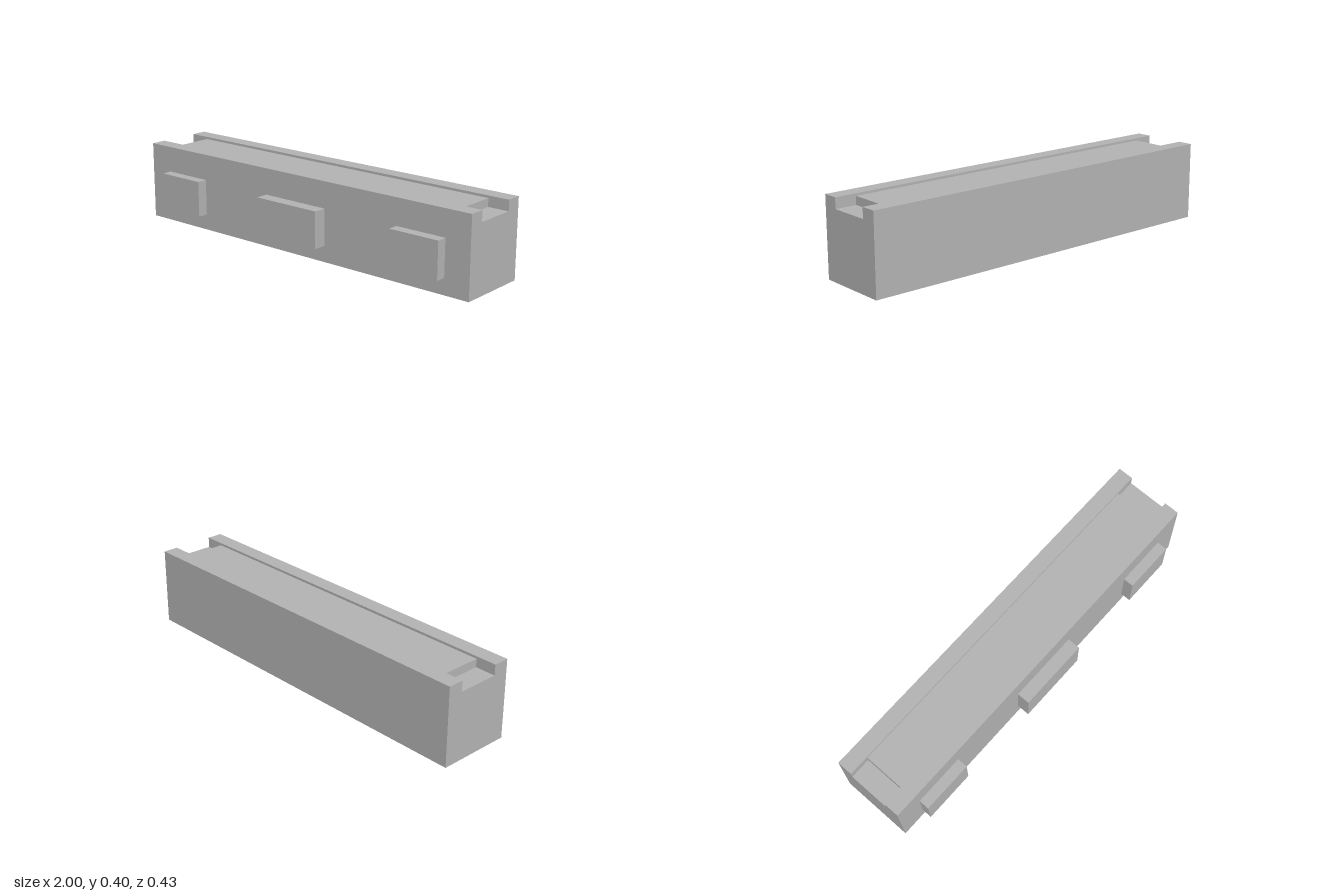
import * as THREE from 'three';

export function createModel() {
  const model = new THREE.Group();
  model.name = 'groovedBeam';
  const grey = new THREE.MeshStandardMaterial({ color: 0xb2b2b2 });
  grey.name = 'plain grey';

  // Box given by its lowest and highest corners
  function block(name, [x0, y0, z0], [x1, y1, z1]) {
    const mesh = new THREE.Mesh(new THREE.BoxGeometry(x1 - x0, y1 - y0, z1 - z0), grey);
    mesh.position.set((x0 + x1) / 2, (y0 + y1) / 2, (z0 + z1) / 2);
    mesh.name = name;
    model.add(mesh);
  }

  // Beam: section with an open channel on top, extruded along x
  const back = -0.217, front = 0.152, top = 0.395, floor = 0.342;
  const grooveBack = -0.138, grooveFront = 0.073;
  const section = new THREE.Shape([
    [-front, 0], [-back, 0], [-back, top], [-grooveBack, top],
    [-grooveBack, floor], [-grooveFront, floor], [-grooveFront, top], [-front, top],
  ].map(([u, y]) => new THREE.Vector2(u, y)));
  const beamGeometry = new THREE.ExtrudeGeometry(section, { depth: 2, bevelEnabled: false });
  beamGeometry.translate(0, 0, -1).rotateY(Math.PI / 2);
  const beam = new THREE.Mesh(beamGeometry, grey);
  beam.name = 'beam';
  model.add(beam);

  // Slab lying in the channel, short of both ends
  block('channelSlab', [-0.895, floor, grooveBack], [0.893, 0.383, grooveFront]);

  // Raised panels on the front face
  block('rightPanel', [-0.871, 0.08, front], [-0.607, 0.263, 0.205]);
  block('centrePanel', [-0.185, 0.08, front], [0.185, 0.263, 0.217]);
  block('leftPanel', [0.605, 0.08, front], [0.869, 0.263, 0.205]);

  return model;
}
